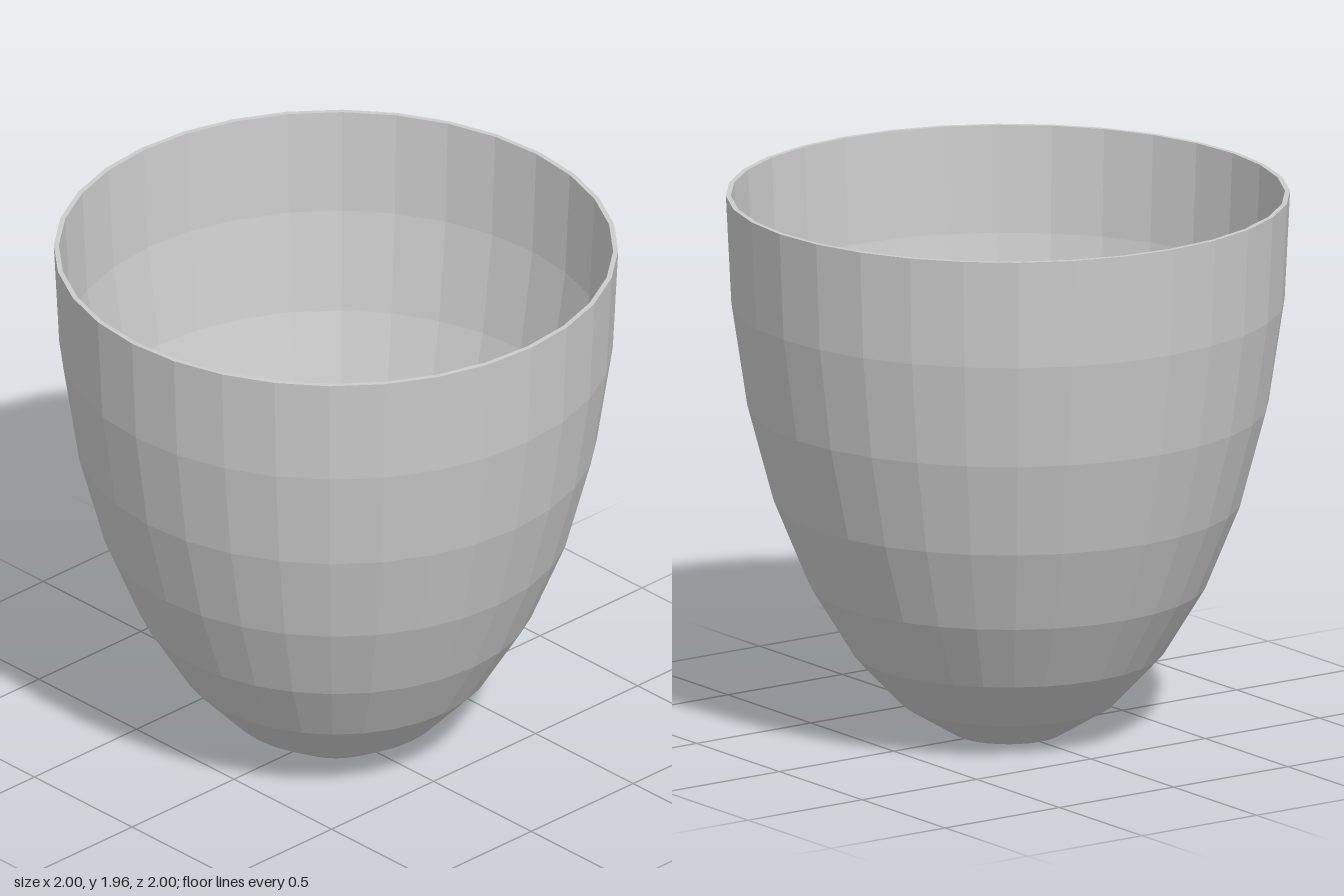
import * as THREE from 'three';

const SIDES = 32, RINGS = 8, STRETCH = 2.003, WALL = 0.018;

// Lower half of a stretched sphere, cut flat at its first ring, then shelled inwards
function cupProfile() {
  const outer = [], inner = [];
  const step = Math.PI / 2 / RINGS;
  for (let i = 1; i <= RINGS; i++) {
    const s = Math.sin(i * step), c = Math.cos(i * step);
    const y = STRETCH * (Math.cos(step) - c);
    outer.push(new THREE.Vector2(s, y));
    // offset along the inward normal; the first ring follows the flat floor
    const n = new THREE.Vector2(-s * STRETCH, c).normalize().multiplyScalar(WALL);
    inner.push(i === 1 ? new THREE.Vector2(s - 0.005, WALL) : new THREE.Vector2(s + n.x, y + n.y));
  }
  return [
    new THREE.Vector2(0, 0), ...outer,
    ...inner.reverse(), new THREE.Vector2(0, WALL),
  ];
}

export function createModel() {
  const group = new THREE.Group();
  group.name = 'cup';
  const material = new THREE.MeshStandardMaterial({ color: 0xcccccc, flatShading: true });

  // Outer wall, rim, inner wall and both floor faces in one closed shell
  const shell = new THREE.Mesh(new THREE.LatheGeometry(cupProfile(), SIDES), material);
  shell.name = 'cupShell';
  group.add(shell);
  return group;
}
